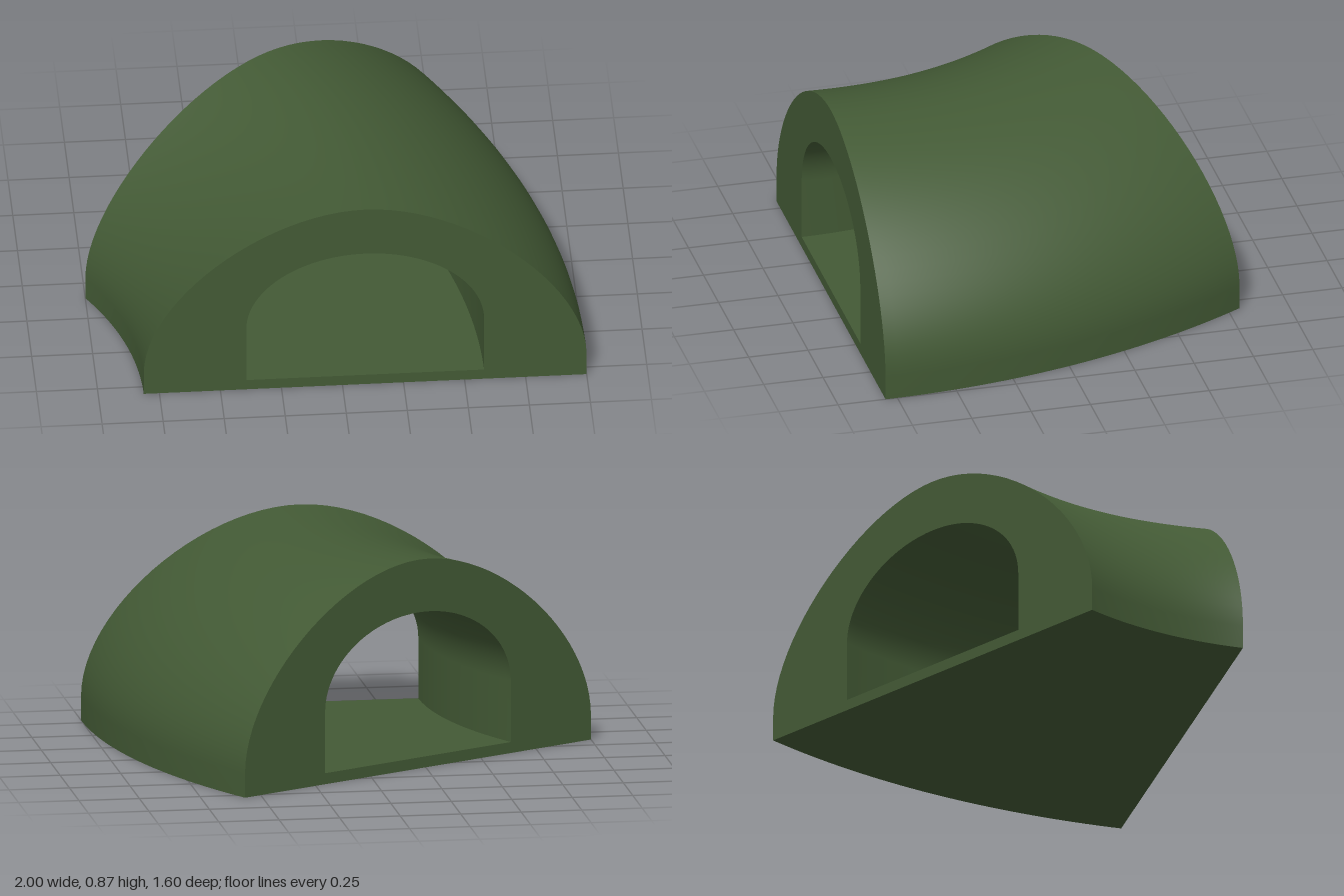
import * as THREE from 'three';

const PIVOT_X = -2.2, FRONT_Z = 0.8, SWEEP = Math.PI / 6, STEPS = 32;
const MID = 0.093; // centre line of the cross-section
const DIP = 0.012; // slight sag of the roof halfway round the bend

// Arch on short straight legs, from its +x foot to its -x foot.
// fullness sets how round the shoulders are (0.55 is elliptical).
function arch(halfWidth, foot, spring, top, fullness) {
  const rise = top - spring;
  const at = (u, v) => new THREE.Vector2(MID + halfWidth * u, spring + rise * v);
  const rightHalf = new THREE.CubicBezierCurve(at(1, 0), at(1, fullness), at(fullness, 1), at(0, 1));
  const leftHalf = new THREE.CubicBezierCurve(at(0, 1), at(-fullness, 1), at(-1, fullness), at(-1, 0));
  return [
    new THREE.Vector2(MID + halfWidth, foot),
    ...rightHalf.getPoints(24),
    ...leftHalf.getPoints(24).slice(1),
    new THREE.Vector2(MID - halfWidth, foot),
  ];
}

// Place a cross-section point at fraction t of the bend
function bend(x, y, t) {
  const r = x - PIVOT_X, a = t * SWEEP;
  return [PIVOT_X + r * Math.cos(a), y, FRONT_Z - r * Math.sin(a)];
}

// Sweep an open profile round the bend
function sweep(profile, dip = 0) {
  const positions = [], index = [], row = STEPS + 1;
  profile.forEach((p, i) => {
    for (let j = 0; j <= STEPS; j++) {
      const t = j / STEPS;
      positions.push(...bend(p.x, p.y * (1 - dip * Math.sin(Math.PI * t)), t));
      if (i < profile.length - 1 && j < STEPS) {
        const a = i * row + j, b = a + 1, c = a + row, d = c + 1;
        index.push(a, b, c, b, d, c);
      }
    }
  });
  const geometry = new THREE.BufferGeometry();
  geometry.setAttribute('position', new THREE.Float32BufferAttribute(positions, 3));
  geometry.setIndex(index);
  geometry.computeVertexNormals();
  return geometry;
}

export function createModel() {
  const group = new THREE.Group();
  group.name = 'curvedTunnel';
  const green = new THREE.MeshStandardMaterial({ color: 0x435a35 });
  green.name = 'mossGreen';

  const add = (name, geometry) => {
    const mesh = new THREE.Mesh(geometry, green);
    mesh.name = name;
    group.add(mesh);
    return mesh;
  };

  const outer = arch(0.907, 0, 0.1, 0.872, 0.46);
  const inner = arch(0.487, 0.046, 0.3, 0.652, 0.55);
  const innerReversed = [...inner].reverse();

  // Roof, base, and the walls and floor of the passage
  add('outerShell', sweep(outer, DIP));
  add('base', sweep([outer[outer.length - 1], outer[0]]));
  add('passageVault', sweep(innerReversed));
  add('passageFloor', sweep([inner[0], inner[inner.length - 1]]));

  // Flat end faces with the passage opening
  const face = new THREE.Shape(outer);
  face.holes.push(new THREE.Path(innerReversed));
  add('frontFace', new THREE.ShapeGeometry(face)).position.z = FRONT_Z;

  const back = new THREE.ShapeGeometry(face);
  const position = back.attributes.position;
  for (let i = 0; i < position.count; i++) {
    position.setXYZ(i, ...bend(position.getX(i), position.getY(i), 1));
  }
  back.setIndex(Array.from(back.index.array).reverse());
  back.computeVertexNormals();
  add('backFace', back);

  return group;
}
